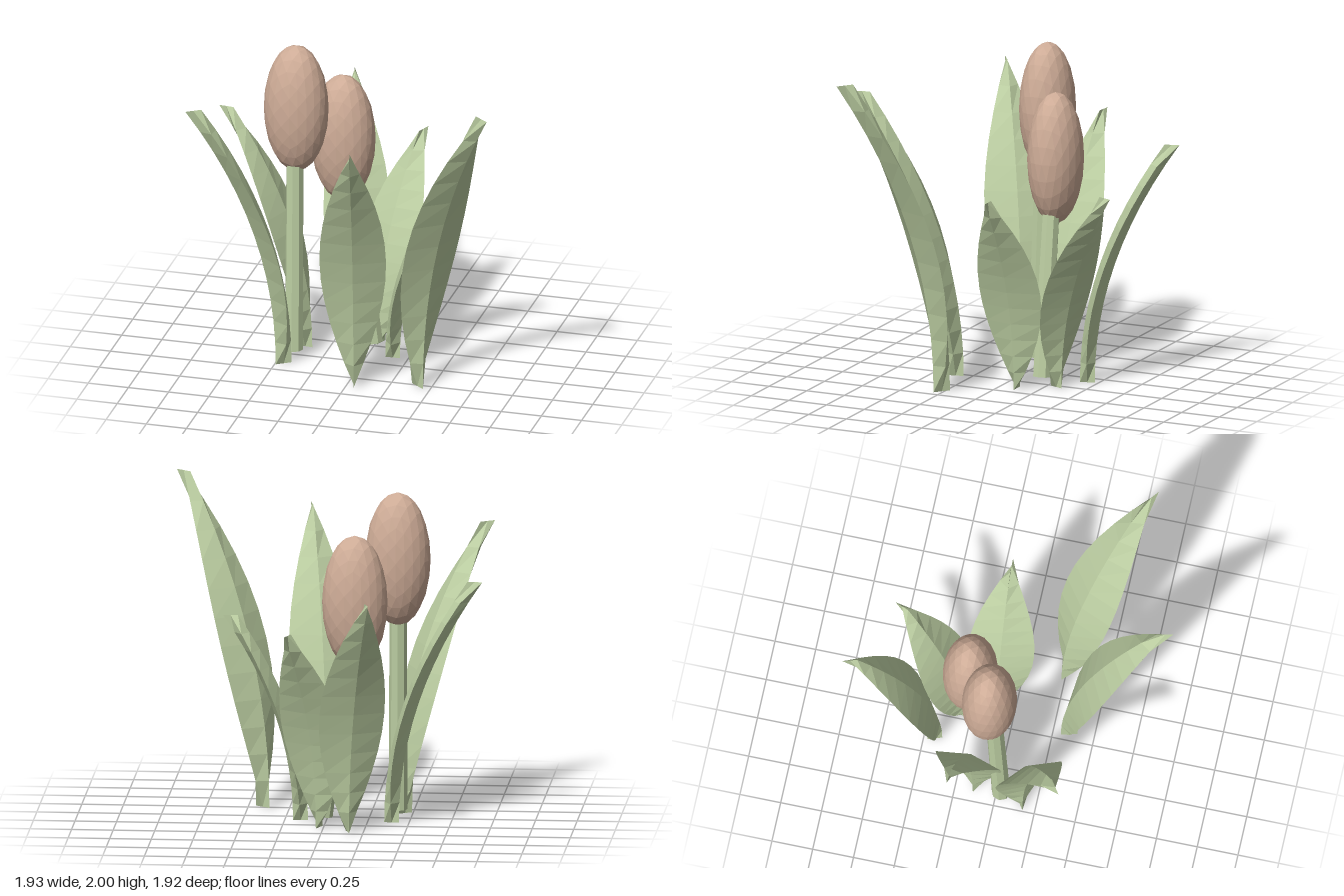
import * as THREE from 'three';

const leafGreen = new THREE.MeshStandardMaterial({ color: 0xbccea2, flatShading: true });
leafGreen.name = 'leaf green';
const budBrown = new THREE.MeshStandardMaterial({ color: 0xceac97, flatShading: true });
budBrown.name = 'bud brown';

// Leaf: diamond cross-sections of constant depth, swept up and outward,
// with the width closing to nothing at the base and the tip.
function leafGeometry(x0, z0, x1, z1, height, depth, halfWidth) {
  const rows = 12;
  const length = Math.hypot(x1 - x0, z1 - z0);
  const dx = (x1 - x0) / length, dz = (z1 - z0) / length;
  const positions = [], index = [];
  for (let i = 0; i <= rows; i++) {
    const t = i / rows;
    const r = depth / 2 + (length - depth) * Math.pow(t, 2.05);
    const w = i === 0 || i === rows ? 0 : halfWidth * Math.pow(Math.sin(Math.PI * t), 0.92);
    // outer ridge, one edge, inner ridge, other edge
    for (const [a, s] of [[depth / 2, 0], [0, w], [-depth / 2, 0], [0, -w]]) {
      positions.push(x0 + dx * (r + a) - dz * s, height * t, z0 + dz * (r + a) + dx * s);
    }
  }
  for (let i = 0; i < rows; i++) {
    for (let k = 0; k < 4; k++) {
      const a = i * 4 + k, b = i * 4 + (k + 1) % 4;
      index.push(a, a + 4, b, b, a + 4, b + 4);
    }
  }
  const g = new THREE.BufferGeometry();
  g.setAttribute('position', new THREE.Float32BufferAttribute(positions, 3));
  g.setIndex(index);
  g.computeVertexNormals();
  return g;
}

// Straight eight-sided stem between two points
function makeStem(from, to, radius) {
  const a = new THREE.Vector3(...from), b = new THREE.Vector3(...to);
  const dir = b.clone().sub(a);
  const stem = new THREE.Mesh(new THREE.CylinderGeometry(radius * 0.92, radius, dir.length(), 8), leafGreen);
  stem.position.copy(a).add(b).multiplyScalar(0.5);
  stem.quaternion.setFromUnitVectors(new THREE.Vector3(0, 1, 0), dir.normalize());
  stem.name = 'stem';
  return stem;
}

export function createModel() {
  const model = new THREE.Group();
  model.name = 'flowerPlant';

  // Leaves: base x, z, tip x, z, height, depth
  const leaves = [
    [0.37, 0.23, 0.965, 0.70, 1.97, 0.11],
    [0.03, 0.30, 0.18, 0.96, 1.73, 0.1],
    [-0.41, 0.12, -0.965, 0.50, 1.73, 0.1],
    [-0.35, -0.13, -0.945, -0.19, 1.49, 0.09],
    [0.11, -0.11, 0.62, -0.12, 1.25, 0.09],
    [0.01, -0.27, 0.2, -0.75, 1.25, 0.09],
    [-0.14, -0.39, -0.32, -0.965, 1.49, 0.09],
  ];
  for (const leaf of leaves) {
    const mesh = new THREE.Mesh(leafGeometry(...leaf, 0.2), leafGreen);
    mesh.name = 'leaf';
    model.add(mesh);
  }

  // Flowers: bud centre, stem base, stem top
  const flowers = [
    [[-0.425, 1.595, -0.04], [-0.42, 0.05, 0.03], [-0.425, 1.26, -0.01]],
    [[-0.18, 1.36, -0.21], [0.01, 0.05, -0.21], [-0.12, 1.06, -0.21]],
  ];
  for (const [centre, base, top] of flowers) {
    const flower = new THREE.Group();
    flower.name = 'flower';
    const bud = new THREE.Mesh(new THREE.IcosahedronGeometry(1, 3), budBrown);
    bud.scale.set(0.197, 0.407, 0.165);
    bud.position.set(...centre);
    bud.name = 'bud';
    flower.add(bud, makeStem(base, top, 0.057));
    model.add(flower);
  }
  return model;
}
